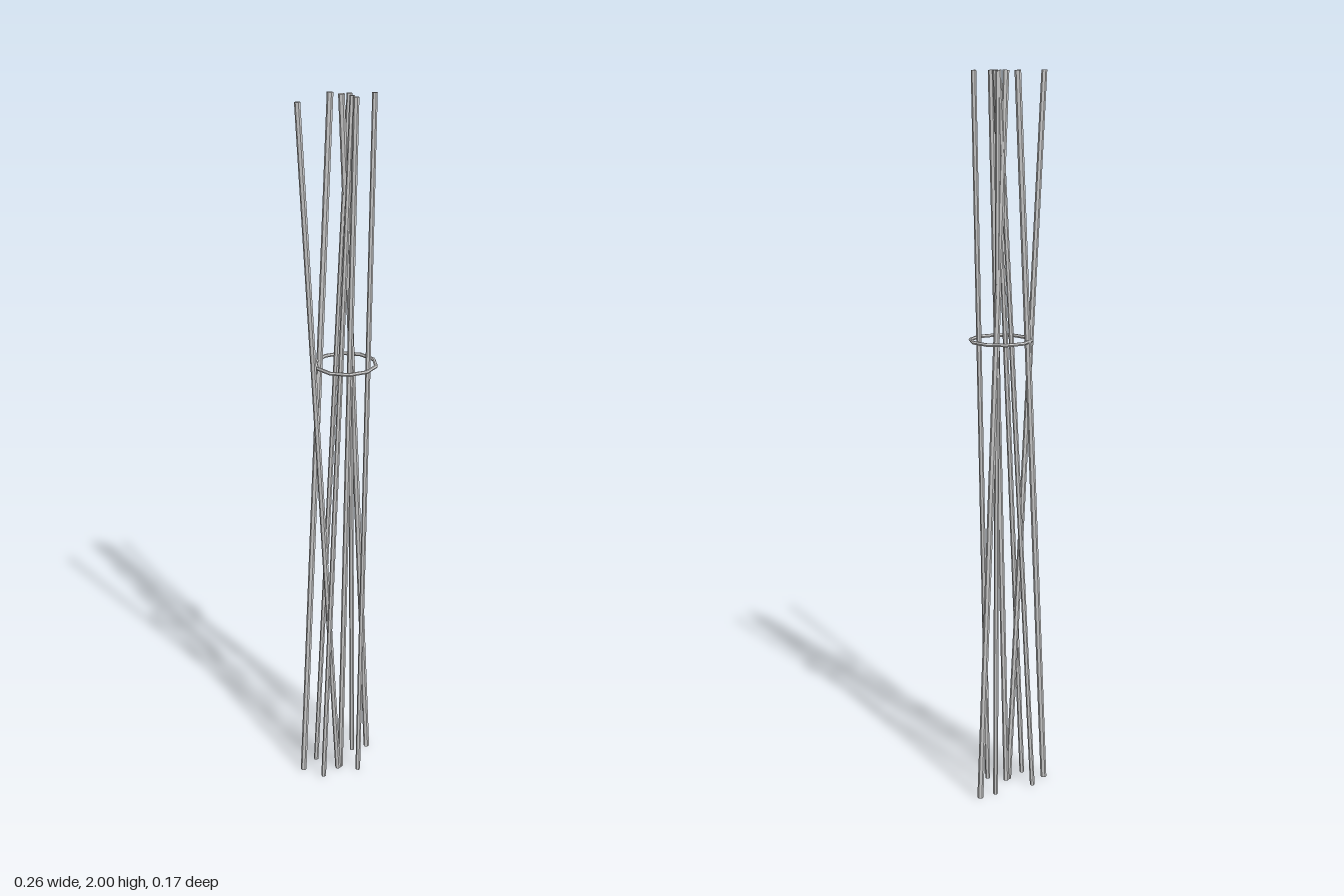
import * as THREE from 'three';

const HEIGHT = 2;

export function createModel() {
  const group = new THREE.Group();
  const material = new THREE.MeshStandardMaterial({ color: 0xcccccc, flatShading: true });

  // Leaning hexagonal poles: foot x, foot z, tip x, tip z, radius
  const poles = [
    [-0.104, -0.034, 0.004, -0.069, 0.0085],
    [0.12, -0.068, 0.021, -0.037, 0.0085],
    [-0.007, 0.001, -0.121, 0.014, 0.0078],
    [-0.063, 0.022, 0.037, -0.007, 0.007],
    [0.044, 0.033, 0.105, -0.018, 0.007],
    [0.003, -0.004, 0.038, 0.015, 0.0078],
    [-0.049, -0.066, 0.043, -0.038, 0.0068],
    [0.071, -0.067, 0.044, -0.037, 0.0068],
  ];
  const up = new THREE.Vector3(0, 1, 0);
  poles.forEach(([x0, z0, x1, z1, r], i) => {
    const foot = new THREE.Vector3(x0, 0, z0);
    const tip = new THREE.Vector3(x1, HEIGHT, z1);
    const axis = tip.clone().sub(foot);
    const pole = new THREE.Mesh(new THREE.CylinderGeometry(r, r, axis.length(), 6), material);
    pole.name = `pole${i + 1}`;
    pole.position.copy(foot).add(tip).multiplyScalar(0.5);
    pole.quaternion.setFromUnitVectors(up, axis.normalize());
    group.add(pole);
  });

  // Ten-sided hoop binding the bundle
  const hoop = new THREE.Mesh(new THREE.TorusGeometry(0.083, 0.005, 6, 10), material);
  hoop.name = 'bindingRing';
  hoop.rotation.x = Math.PI / 2;
  hoop.position.set(0.017, 1.291, 0);
  group.add(hoop);

  return group;
}
